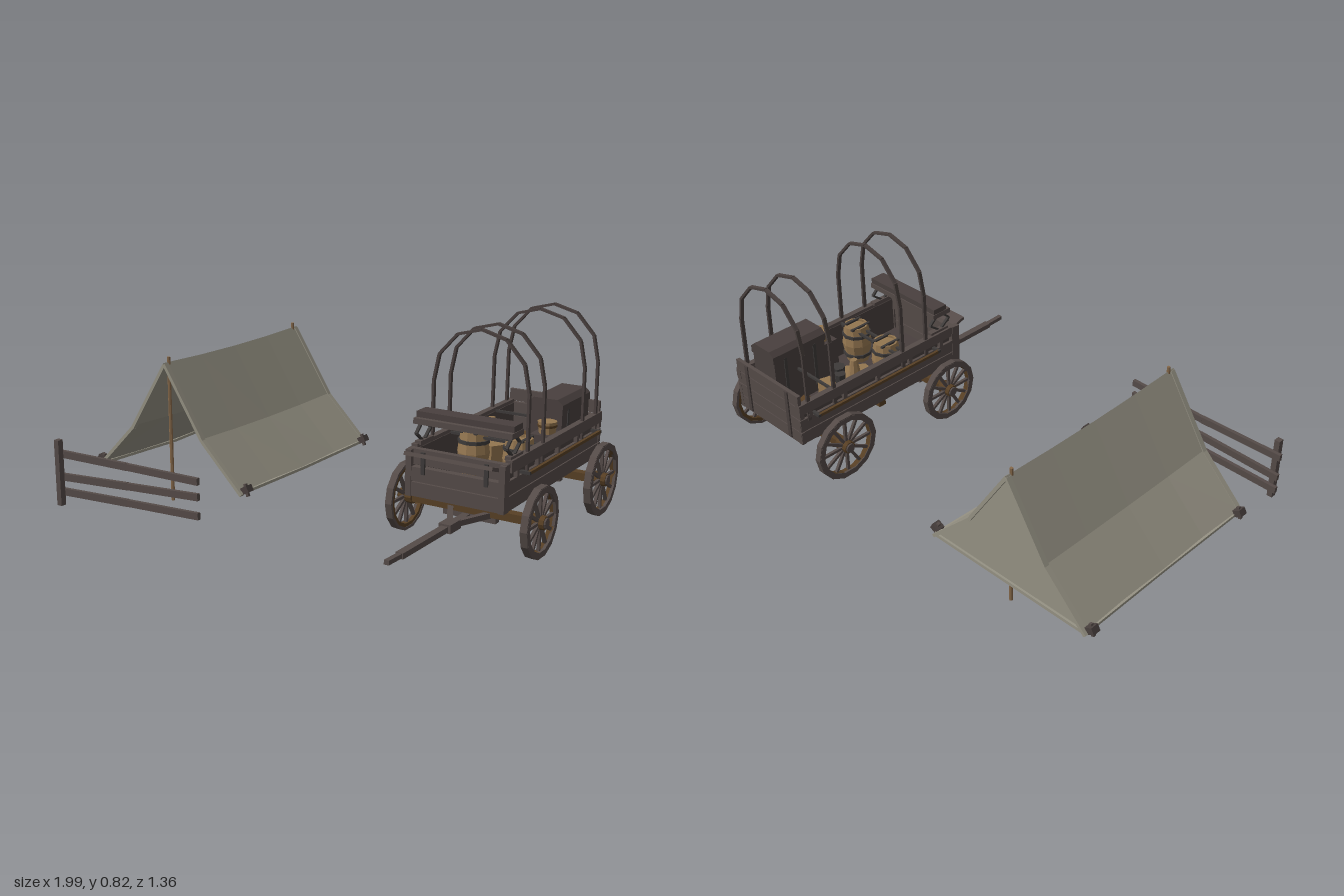
import * as THREE from 'three';

const mat = (name, color, extra = {}) => {
  const m = new THREE.MeshStandardMaterial({ color, flatShading: true, ...extra });
  m.name = name;
  return m;
};

export function createModel() {
  const wood = mat('weathered wood', 0x554b48);
  const dark = mat('dark wood', 0x49403e);
  const brown = mat('brown timber', 0x573f24);
  const iron = mat('iron', 0x3d3a39);
  const tan = mat('tan', 0x947650);
  const pole = mat('pole wood', 0x87694a);
  const canvas = mat('canvas', 0x969284, { side: THREE.DoubleSide });

  const root = new THREE.Group();
  const group = (name, parent = root) => {
    const g = new THREE.Group();
    g.name = name;
    parent.add(g);
    return g;
  };
  const add = (parent, name, geo, m, x = 0, y = 0, z = 0) => {
    const mesh = new THREE.Mesh(geo, m);
    mesh.name = name;
    mesh.position.set(x, y, z);
    parent.add(mesh);
    return mesh;
  };
  const box = (p, name, m, w, h, d, x, y, z) => add(p, name, new THREE.BoxGeometry(w, h, d), m, x, y, z);
  const cyl = (p, name, m, r1, r2, h, x, y, z, n = 8) => add(p, name, new THREE.CylinderGeometry(r1, r2, h, n), m, x, y, z);
  // Square bar between two points of the parent's space
  const up = new THREE.Vector3(0, 1, 0);
  const beam = (p, name, m, a, b, w, h) => {
    const A = new THREE.Vector3(...a), B = new THREE.Vector3(...b);
    const mesh = add(p, name, new THREE.BoxGeometry(w, h, A.distanceTo(B)), m);
    mesh.quaternion.setFromRotationMatrix(new THREE.Matrix4().lookAt(B, A, up));
    mesh.position.copy(A).add(B).multiplyScalar(0.5);
  };

  // ---------- Tent ----------
  const tent = group('tent');
  tent.position.set(-0.585, 0, -0.145);
  const profile = [[-0.38, 0.105], [-0.185, 0.3], [0, 0.592], [0.185, 0.3], [0.38, 0.105]];
  const sheet = new THREE.PlaneGeometry(1, 1, 4, 4);
  const sp = sheet.attributes.position;
  for (let i = 0; i < sp.count; i++) {
    const [x, y] = profile[i % 5], t = Math.floor(i / 5) / 2 - 1;
    const sag = 1 - t * t;
    sp.setXYZ(i, x * (1 - 0.025 * sag), y - 0.01 * sag, t * 0.465);
  }
  add(tent, 'tentSheet', sheet, canvas);
  const wall = new THREE.Shape(profile.map(([x, y]) => new THREE.Vector2(x, y)));
  add(tent, 'backWall', new THREE.ShapeGeometry(wall), canvas, 0, 0, -0.455);
  for (const z of [-0.455, 0.455]) {
    for (let i = 0; i < 4; i++) {
      beam(tent, 'edgeHem', canvas, [profile[i][0], profile[i][1] - 0.008, z], [profile[i + 1][0], profile[i + 1][1] - 0.008, z], 0.022, 0.014);
    }
    cyl(tent, 'tentPole', pole, 0.007, 0.008, 0.612, 0, 0.306, z * 0.955, 6);
    for (const s of [-1, 1]) {
      box(tent, 'cornerPeg', dark, 0.035, 0.028, 0.035, s * 0.388, 0.118, z * 0.955).rotation.z = s * 0.5;
      beam(tent, 'pegStake', wood, [s * 0.38, 0.14, z * 0.955], [s * 0.395, 0.09, z * 0.955], 0.012, 0.012);
    }
  }
  beam(tent, 'backHem', canvas, [-0.37, 0.108, -0.455], [0.37, 0.108, -0.455], 0.018, 0.014);
  for (const s of [-1, 1]) {
    beam(tent, 'sideHem', canvas, [s * 0.373, 0.104, -0.455], [s * 0.364, 0.094, 0], 0.014, 0.012);
    beam(tent, 'sideHem', canvas, [s * 0.364, 0.094, 0], [s * 0.373, 0.104, 0.455], 0.014, 0.012);
  }

  // ---------- Fence ----------
  const fence = group('fence');
  box(fence, 'fencePost', wood, 0.024, 0.28, 0.026, -0.928, 0.14, 0.592);
  for (const [y1, y2] of [[0.215, 0.225], [0.115, 0.163], [0.052, 0.086]]) {
    const mid = [-0.58, (y1 + y2) / 2 - 0.002, 0.566];
    beam(fence, 'fenceRail', wood, [-0.958, y1, 0.573], mid, 0.016, 0.03);
    beam(fence, 'fenceRail', wood, mid, [-0.21, y2, 0.574], 0.016, 0.028);
  }

  // ---------- Wagon ----------
  const wagon = group('wagon');
  wagon.position.x = 0.688;

  const ring = (ri, ro, h) => new THREE.LatheGeometry(
    [[ri, -h], [ro, -h], [ro, h], [ri, h], [ri, -h]].map(([a, b]) => new THREE.Vector2(a, b)), 14);
  const wheel = (x, y, z, r) => {
    const g = group('wheel', wagon);
    g.position.set(x, y, z);
    g.rotation.z = x > 0 ? -Math.PI / 2 : Math.PI / 2;
    add(g, 'tire', ring(r - 0.012, r, 0.014), wood);
    add(g, 'felloe', ring(r - 0.026, r - 0.01, 0.012), brown);
    add(g, 'rimFace', ring(r - 0.026, r - 0.004, 0.006), wood, 0, 0.009, 0);
    cyl(g, 'hub', brown, 0.026, 0.03, 0.06, 0, -0.005, 0, 10);
    cyl(g, 'hubCap', wood, 0.02, 0.027, 0.022, 0, 0.02, 0, 10);
    for (let i = 0; i < 12; i++) {
      const a = i * Math.PI / 6, c = Math.cos(a), s = Math.sin(a);
      beam(g, 'spoke', wood, [c * 0.022, 0, s * 0.022], [c * (r - 0.02), 0, s * (r - 0.02)], 0.012, 0.012);
    }
  };
  for (const [y, z, r] of [[0.147, 0.064, 0.139], [0.155, -0.516, 0.149]]) {
    for (const s of [-1, 1]) wheel(s * 0.28, y, z, r);
    box(wagon, 'axle', brown, 0.56, 0.032, 0.04, 0, y, z);
    box(wagon, 'axleBolster', wood, 0.3, 0.035, 0.045, 0, y + 0.03, z);
    box(wagon, 'axleKeel', wood, 0.22, 0.026, 0.03, 0, y - 0.026, z);
  }
  // Underframe
  for (const s of [-1, 1]) {
    box(wagon, 'frameRail', brown, 0.03, 0.034, 0.6, s * 0.125, 0.168, -0.22);
    beam(wagon, 'frontHound', wood, [s * 0.1, 0.14, 0.04], [0, 0.13, 0.23], 0.022, 0.022);
  }
  box(wagon, 'crossBeam', brown, 0.34, 0.03, 0.035, 0, 0.165, -0.22);
  box(wagon, 'reach', brown, 0.03, 0.026, 0.6, 0, 0.145, -0.22);
  // Tongue
  box(wagon, 'tongueBlock', wood, 0.05, 0.034, 0.08, 0, 0.127, 0.23);
  beam(wagon, 'tongue', wood, [0, 0.125, 0.1], [0, 0.127, 0.59], 0.03, 0.022);
  beam(wagon, 'tongueTip', wood, [0, 0.127, 0.58], [0, 0.13, 0.676], 0.02, 0.017);

  // Wagon box
  box(wagon, 'floor', dark, 0.38, 0.02, 0.84, 0, 0.21, -0.25);
  for (const s of [-1, 1]) {
    box(wagon, 'sideLiner', dark, 0.012, 0.17, 0.83, s * 0.184, 0.29, -0.255);
    for (const y of [0.229, 0.288]) box(wagon, 'sidePlank', wood, 0.016, 0.055, 0.85, s * 0.194, y, -0.25);
    box(wagon, 'topRail', wood, 0.026, 0.045, 0.835, s * 0.194, 0.367, -0.258);
    for (let i = 0; i < 5; i++) box(wagon, 'sideBlock', wood, 0.016, 0.034, 0.018, s * 0.197, 0.33, 0.1 - i * 0.18);
    // Outer grab rail with end brackets
    box(wagon, 'outerRail', brown, 0.012, 0.012, 0.66, s * 0.23, 0.324, -0.27);
    for (const z of [0.06, -0.6]) box(wagon, 'railBracket', iron, 0.042, 0.012, 0.014, s * 0.215, 0.324, z);
  }
  for (const y of [0.229, 0.288]) box(wagon, 'frontPlank', wood, 0.39, 0.055, 0.03, 0, y, 0.19);
  box(wagon, 'frontTopPlank', wood, 0.405, 0.06, 0.026, 0, 0.352, 0.178);
  for (const y of [0.23, 0.29, 0.35]) box(wagon, 'tailPlank', wood, 0.41, 0.056, 0.02, 0, y, -0.664);
  box(wagon, 'tailTopPlank', wood, 0.4, 0.05, 0.016, 0, 0.408, -0.667);
  for (const s of [-1, 1]) {
    box(wagon, 'frontStrap', iron, 0.016, 0.085, 0.008, s * 0.13, 0.335, 0.207);
    box(wagon, 'frontCorner', wood, 0.024, 0.18, 0.04, s * 0.192, 0.29, 0.188);
    box(wagon, 'tailStrap', dark, 0.018, 0.22, 0.008, s * 0.13, 0.32, -0.676);
  }
  beam(wagon, 'footboard', wood, [0, 0.352, 0.17], [0, 0.382, 0.262], 0.36, 0.014);

  // Driver seat on crossed springs
  box(wagon, 'seatPlank', wood, 0.405, 0.022, 0.095, 0, 0.477, 0.11);
  box(wagon, 'seatCushion', dark, 0.4, 0.028, 0.07, 0, 0.497, 0.102);
  for (const s of [-1, 1]) {
    for (const d of [-1, 1]) {
      beam(wagon, 'seatSpring', iron, [s * 0.185, 0.432, 0.11 + d * 0.055], [s * 0.185, 0.467, 0.11 + d * 0.015], 0.012, 0.008);
      beam(wagon, 'seatSpring', iron, [s * 0.185, 0.432, 0.11 + d * 0.055], [s * 0.185, 0.398, 0.11 + d * 0.01], 0.012, 0.008);
    }
    box(wagon, 'seatFoot', wood, 0.025, 0.014, 0.1, s * 0.185, 0.393, 0.1);
  }

  // Canvas hoops
  const arch = [[-0.199, 0.3], [-0.197, 0.605], [-0.175, 0.71], [-0.1, 0.793], [0, 0.82],
    [0.1, 0.793], [0.175, 0.71], [0.197, 0.605], [0.199, 0.3]];
  for (const z of [0.015, -0.118, -0.492, -0.625]) {
    const hoop = group('hoop', wagon);
    for (let i = 0; i < 8; i++) beam(hoop, 'hoopBar', dark, [...arch[i], z], [...arch[i + 1], z], 0.016, 0.01);
  }
  for (const z of [-0.1, -0.135, -0.49]) box(wagon, 'crossRod', iron, 0.37, 0.01, 0.01, 0, 0.375, z);

  // ---------- Cargo ----------
  const cargo = group('cargo', wagon);
  box(cargo, 'chest', dark, 0.14, 0.23, 0.26, 0.104, 0.335, -0.475);
  const lid = new THREE.Shape([[-0.073, 0], [0.073, 0], [0.073, 0.03], [0.05, 0.05], [-0.05, 0.05], [-0.073, 0.03]]
    .map(([x, y]) => new THREE.Vector2(x, y)));
  add(cargo, 'chestLid', new THREE.ExtrudeGeometry(lid, { depth: 0.27, bevelEnabled: false }), dark, 0.104, 0.45, -0.61);
  for (const z of [-0.4, -0.55]) box(cargo, 'chestStrap', iron, 0.148, 0.2, 0.014, 0.104, 0.355, z);
  // Barrels
  const stave = [[0, 0], [0.05, 0], [0.064, 0.085], [0.052, 0.17], [0.044, 0.17], [0.044, 0.16], [0, 0.16]]
    .map(([a, b]) => new THREE.Vector2(a, b));
  for (const x of [-0.088, 0.105]) {
    add(cargo, 'barrel', new THREE.LatheGeometry(stave, 10), tan, x, 0.225, -0.115);
    for (const y of [0.26, 0.355]) cyl(cargo, 'barrelBand', iron, 0.063, 0.063, 0.014, x, y, -0.115, 10);
    for (const d of [-0.03, 0.03]) box(cargo, 'barrelStrap', iron, 0.012, 0.008, 0.1, x + d, 0.394, -0.115);
  }
  // Bucket on a crate
  box(cargo, 'crate', dark, 0.1, 0.16, 0.1, 0.14, 0.3, -0.285);
  cyl(cargo, 'bucket', tan, 0.038, 0.032, 0.05, 0.14, 0.402, -0.285, 10);
  cyl(cargo, 'bucketBand', brown, 0.039, 0.038, 0.01, 0.14, 0.41, -0.285, 10);
  // Hide with pots, over a low bale
  const hide = new THREE.Shape([[-0.07, -0.11], [0.03, -0.12], [0.075, -0.05], [0.06, 0.03], [0.08, 0.1], [-0.02, 0.115], [-0.08, 0.09], [-0.06, 0]]
    .map(([x, y]) => new THREE.Vector2(x, y)));
  add(cargo, 'hide', new THREE.ExtrudeGeometry(hide, { depth: 0.09, bevelEnabled: false }), tan, -0.088, 0.22, -0.33)
    .rotation.x = -Math.PI / 2;
  cyl(cargo, 'pot', iron, 0.024, 0.02, 0.05, -0.1, 0.335, -0.38);
  cyl(cargo, 'pot', iron, 0.03, 0.024, 0.06, -0.065, 0.34, -0.36);
  cyl(cargo, 'jug', tan, 0.015, 0.03, 0.09, -0.11, 0.355, -0.31);
  // Saddle roll and tools at the back
  cyl(cargo, 'saddleRoll', brown, 0.028, 0.028, 0.1, -0.09, 0.27, -0.53).rotation.z = Math.PI / 2;
  box(cargo, 'toolBox', dark, 0.16, 0.05, 0.09, -0.09, 0.24, -0.53);
  beam(cargo, 'toolHandle', brown, [-0.15, 0.3, -0.56], [0, 0.25, -0.5], 0.014, 0.014);

  return root;
}
